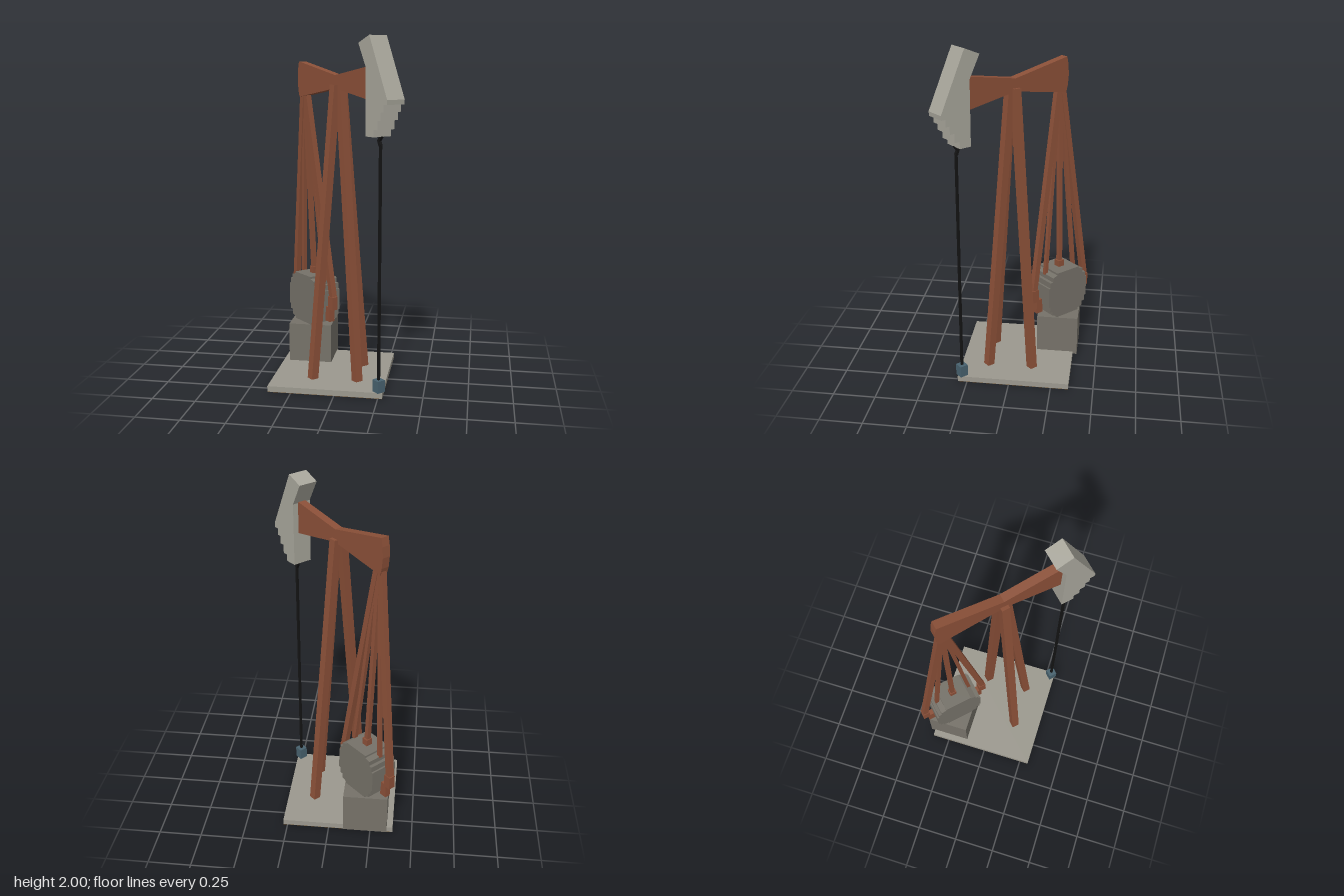
import * as THREE from 'three';

const mat = (name, color) => {
  const m = new THREE.MeshStandardMaterial({ color });
  m.name = name;
  return m;
};

export function createModel() {
  const rust = mat('rust brown', 0x8b5038);
  const slab = mat('slab grey', 0x9b988e);
  const pale = mat('pale grey', 0xa8a69b);
  const stone = mat('dark grey', 0x757168);
  const black = mat('black', 0x141414);
  const blue = mat('steel blue', 0x48626f);
  const earth = mat('earth brown', 0x6b5233);

  const model = new THREE.Group();
  model.name = 'pumpjack';
  // The machinery lies along the diagonal of the slab: local x runs to the head
  const machine = new THREE.Group();
  machine.name = 'machinery';
  machine.position.set(-0.02, 0, 0.01);
  machine.rotation.y = -Math.PI / 4;
  model.add(machine);

  const add = (parent, name, geometry, material, x = 0, y = 0, z = 0) => {
    const mesh = new THREE.Mesh(geometry, material);
    mesh.name = name;
    mesh.position.set(x, y, z);
    parent.add(mesh);
    return mesh;
  };
  const box = (parent, name, material, size, pos) =>
    add(parent, name, new THREE.BoxGeometry(...size), material, ...pos);

  // Square bar between two points
  const strut = (name, material, from, to, width) => {
    const a = new THREE.Vector3(...from), b = new THREE.Vector3(...to);
    const dir = b.clone().sub(a);
    const mid = a.clone().add(b).multiplyScalar(0.5);
    const mesh = box(machine, name, material, [width, dir.length(), width], mid.toArray());
    mesh.quaternion.setFromUnitVectors(new THREE.Vector3(0, 1, 0), dir.normalize());
    return mesh;
  };

  // Side profile extruded across the machine, centred on z
  const plate = (name, material, points, depth, z = 0) => {
    const shape = new THREE.Shape(points.map(p => new THREE.Vector2(...p)));
    const geometry = new THREE.ExtrudeGeometry(shape, { depth, bevelEnabled: false });
    geometry.translate(0, 0, -depth / 2);
    return add(machine, name, geometry, material, 0, 0, z);
  };

  // Slab, its underside and the motor block
  box(model, 'baseSlab', slab, [0.66, 0.033, 0.66], [-0.055, 0.0185, -0.025]);
  box(model, 'baseUnderside', earth, [0.66, 0.002, 0.66], [-0.055, 0.001, -0.025]);
  box(model, 'motorBlock', stone, [0.26, 0.25, 0.25], [-0.22, 0.145, -0.255]);

  // Tripod
  for (const [x, z] of [[0, 1], [0, -1], [1, 0]]) {
    strut('tripodLeg', rust, [x * 0.185, 0.034, z * 0.185], [x * 0.022, 1.73, z * 0.022], 0.045);
  }

  // Walking beam, narrow at the pivot and bowed at the rear
  plate('walkingBeam', rust, [
    [-0.365, 1.65], [0, 1.712], [0.34, 1.655], [0.34, 1.845], [0, 1.785],
    [-0.368, 1.857], [-0.378, 1.81], [-0.382, 1.75], [-0.376, 1.69],
  ], 0.048);

  // Beam head with a stepped lower front
  plate('beamHead', pale, [
    [0.327, 1.47], [0.398, 1.47], [0.398, 1.51], [0.43, 1.51], [0.43, 1.56],
    [0.458, 1.56], [0.458, 1.605], [0.482, 1.605], [0.482, 1.645], [0.508, 1.645],
    [0.51, 1.67], [0.398, 1.91], [0.356, 2.0], [0.262, 1.96], [0.327, 1.835],
  ], 0.117);

  // Polished rod with a kinked hanger, and the wellhead
  strut('pumpRod', black, [0.385, 0.09, 0], [0.385, 1.43, 0], 0.013);
  strut('rodHanger', black, [0.385, 1.42, 0], [0.372, 1.45, 0], 0.016);
  strut('rodHanger', black, [0.372, 1.445, 0], [0.395, 1.475, 0], 0.016);
  box(machine, 'wellhead', blue, [0.05, 0.07, 0.05], [0.385, 0.07, 0]);

  // Stepped crank wheel, mirrored from one quarter outline
  const cx = -0.322, cy = 0.42, cz = -0.046;
  const quarter = [
    [0.149, 0.065], [0.138, 0.065], [0.138, 0.1], [0.118, 0.1],
    [0.118, 0.128], [0.085, 0.138], [0.085, 0.15],
  ];
  const back = quarter.slice().reverse();
  const outline = [
    ...quarter, ...back.map(([x, y]) => [-x, y]),
    ...quarter.map(([x, y]) => [-x, -y]), ...back.map(([x, y]) => [x, -y]),
  ];
  plate('crankWheel', stone, outline.map(([x, y]) => [cx + x, cy + y]), 0.172, cz);

  // Fan of rods from the beam's rear end to the crank wheel
  const rods = [[-0.2, 0.46, 0.034], [-0.11, 0.54, 0.022], [0, 0.56, 0.026], [0.11, 0.54, 0.022], [0.2, 0.46, 0.034]];
  for (const [x, y, w] of rods) {
    strut('pitmanRod', rust, [cx + x, y, cz], [-0.338 + x * 0.06, 1.69, 0], w);
  }
  box(machine, 'rodCollar', rust, [0.04, 0.045, 0.04], [cx, 0.587, cz]);
  for (const s of [-1, 1]) {
    box(machine, 'crankPin', rust, [0.045, 0.08, 0.04], [cx + s * 0.198, 0.42, cz]);
    box(machine, 'crankLink', rust, [0.045, 0.09, 0.034], [cx + s * 0.166, 0.345, cz]);
  }
  return model;
}
